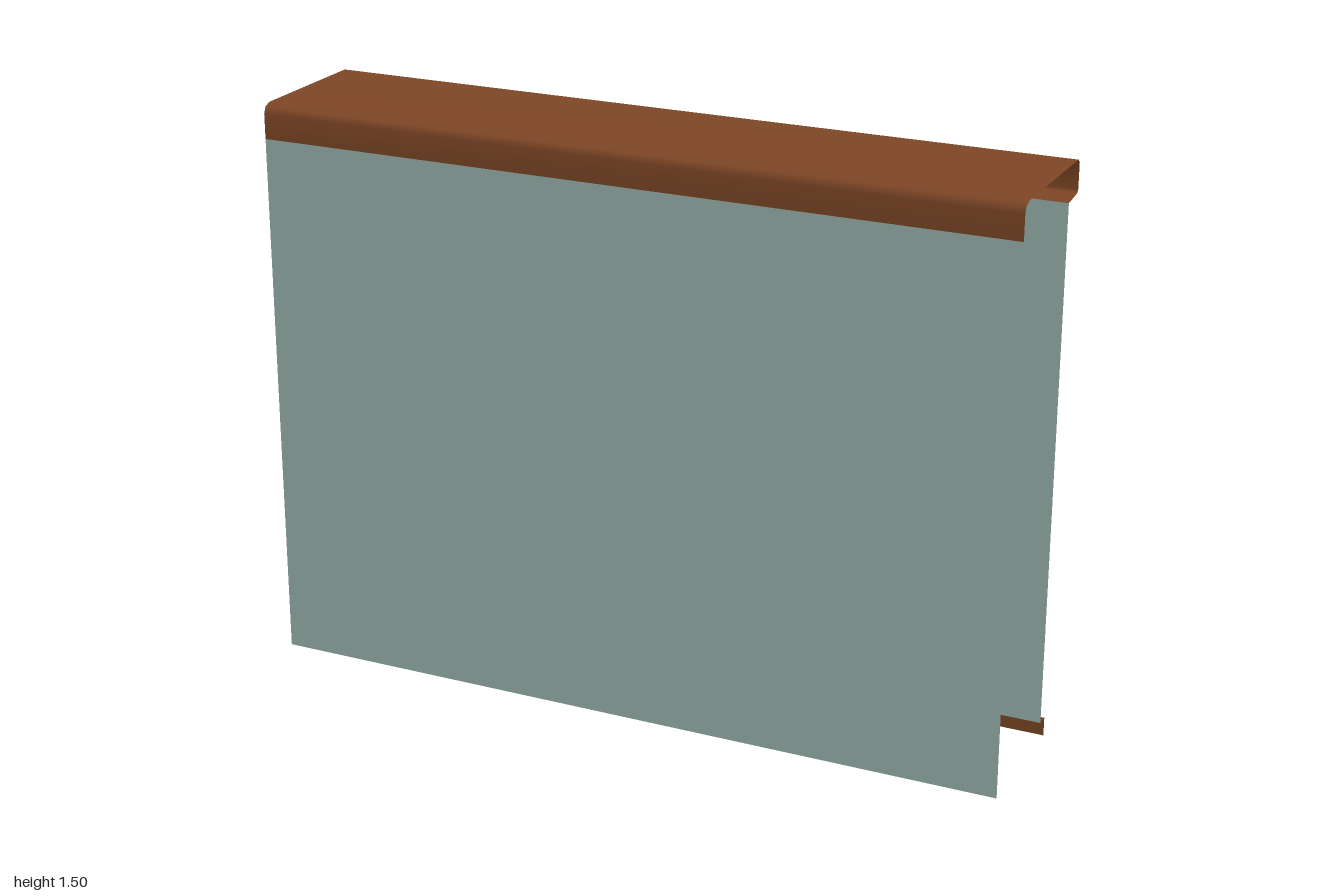
import * as THREE from 'three';

const HALF_WIDTH = 1;

// Open sheet: a [z, y] profile swept along x, front faces on the left of the path
function sheet(name, profile, material, smooth = false) {
  const positions = [];
  const index = [];
  profile.forEach(([z, y], i) => {
    positions.push(-HALF_WIDTH, y, z, HALF_WIDTH, y, z);
    if (i > 0) {
      const a = 2 * (i - 1);
      index.push(a, a + 1, a + 3, a, a + 3, a + 2);
    }
  });
  let geometry = new THREE.BufferGeometry();
  geometry.setAttribute('position', new THREE.Float32BufferAttribute(positions, 3));
  geometry.setIndex(index);
  if (!smooth) geometry = geometry.toNonIndexed();
  geometry.computeVertexNormals();
  const mesh = new THREE.Mesh(geometry, material);
  mesh.name = name;
  return mesh;
}

export function createModel() {
  const trim = new THREE.MeshStandardMaterial({ color: 0x7d4625, side: THREE.DoubleSide });
  trim.name = 'brown trim';
  const panel = new THREE.MeshStandardMaterial({ color: 0x9ab4ae, side: THREE.DoubleSide });
  panel.name = 'grey green panel';

  const model = new THREE.Group();
  model.name = 'panelWall';

  // Two upright panels
  model.add(sheet('frontPanel', [[0.2, 0], [0.2, 1.41]], panel));
  model.add(sheet('backPanel', [[-0.13, 1.41], [-0.13, 0.05]], panel));

  // Capping folded over the top, with a lip returning to the back panel
  model.add(sheet('topCap', [
    [0.2, 1.41], [0.2, 1.475], [0.193, 1.492], [0.175, 1.5],
    [-0.19, 1.5], [-0.2, 1.49], [-0.2, 1.425], [-0.193, 1.417], [-0.13, 1.41],
  ], trim, true));

  // Small stepped drip flange under the back panel
  model.add(sheet('bottomFlange', [[-0.13, 0.055], [-0.162, 0.05], [-0.162, 0]], trim));

  return model;
}
